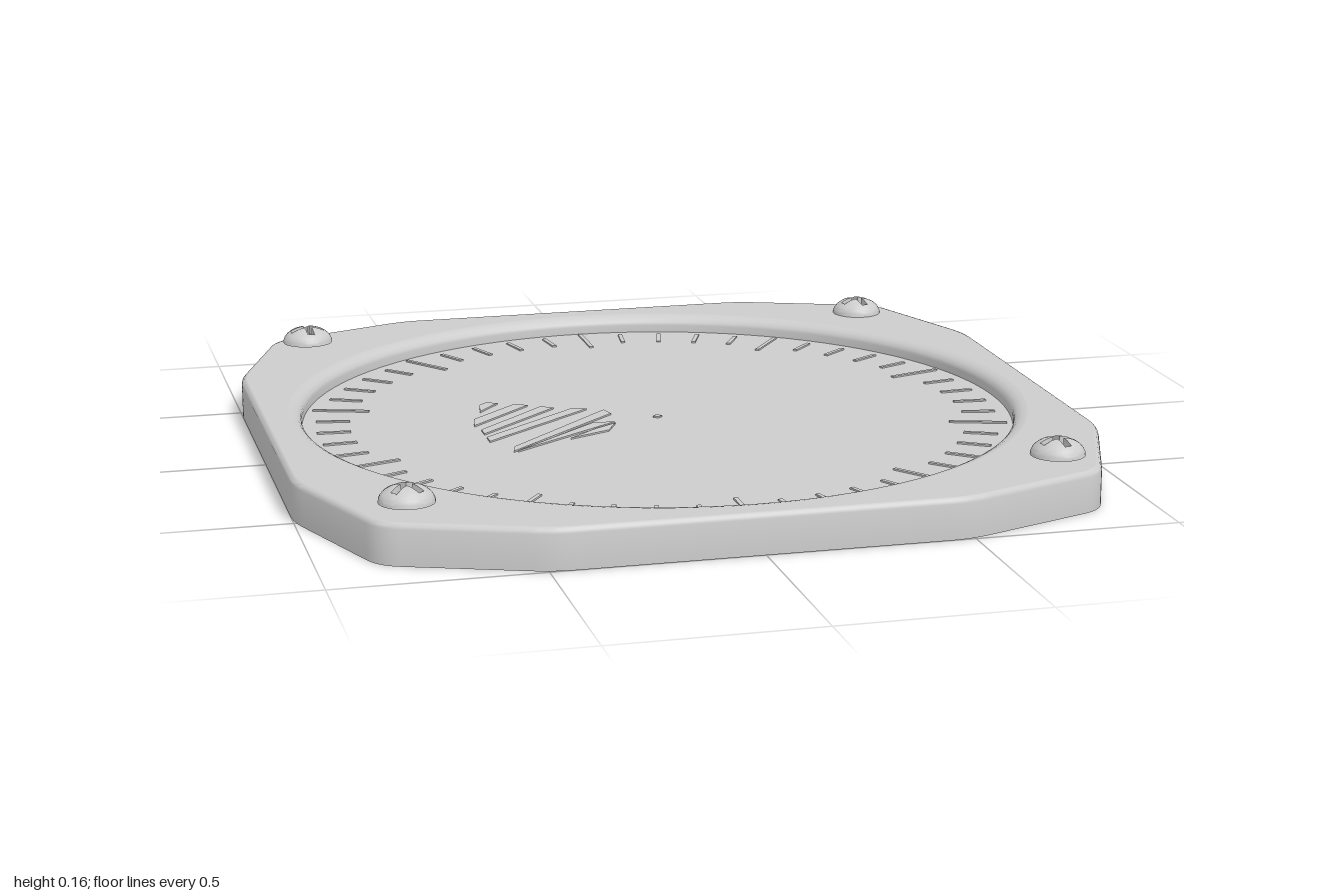
import * as THREE from 'three';
import { toCreasedNormals } from 'three/addons/utils/BufferGeometryUtils.js';

const TOP = 0.1, FLOOR = 0.055;

// Skin between closed loops of equal length, listed from bottom to top
function loft(loops) {
  const n = loops[0].length, index = [];
  for (let i = 0; i < loops.length - 1; i++)
    for (let j = 0; j < n; j++) {
      const a = i * n + j, b = i * n + (j + 1) % n;
      index.push(a, b, b + n, a, b + n, a + n);
    }
  const g = new THREE.BufferGeometry();
  g.setAttribute('position', new THREE.Float32BufferAttribute(loops.flat(2), 3));
  g.setIndex(index);
  return toCreasedNormals(g, 0.7);
}

// Twelve-sided plate outline with softened corners
function plateOutline(scale) {
  const corners = [];
  for (let q = 0; q < 4; q++)
    for (const [x, y] of [[1, -0.49], [1, 0.49], [0.862, 0.862]])
      corners.push(new THREE.Vector2(x * scale, y * scale).rotateAround(new THREE.Vector2(), q * Math.PI / 2));
  const pts = [];
  corners.forEach((c, i) => {
    const prev = corners[(i + 11) % 12], next = corners[(i + 1) % 12];
    const from = c.clone().add(prev.clone().sub(c).setLength(0.05));
    const to = c.clone().add(next.clone().sub(c).setLength(0.05));
    pts.push(...new THREE.QuadraticBezierCurve(from, c, to).getPoints(5));
  });
  return pts;
}

// Domed screw head with a recessed cross
function screwHead() {
  const R = 0.066, H = 0.042, w = 0.009, L = 0.045, tip = Math.atan2(w, L);
  const angles = [];
  for (let q = 0; q < 4; q++)
    for (const t of [0, tip, 0.35, 0.55, Math.PI / 4, 1.02, 1.22, Math.PI / 2 - tip])
      angles.push(q * Math.PI / 2 + t);
  const cross = (t) => {
    const c = Math.abs(Math.cos(t)) + 1e-6, s = Math.abs(Math.sin(t)) + 1e-6;
    return Math.max(Math.min(L / c, w / s), Math.min(L / s, w / c));
  };
  const dome = (r) => H * Math.sqrt(Math.max(0, 1 - (r / R) ** 2));
  const ring = (radius, height) => angles.map((t) => {
    const r = radius(t);
    return [r * Math.cos(t), height(r), -r * Math.sin(t)];
  });
  const loops = [ring(() => 0, () => 0), ring(() => R, () => 0)];
  for (let k = 1; k <= 7; k++) {
    const f = Math.sin((1 - k / 7) * Math.PI / 2);
    loops.push(ring((t) => cross(t) + (R - cross(t)) * f, dome));
  }
  loops.push(ring(cross, () => 0.015), ring(() => 0, () => 0.015));
  return loft(loops);
}

export function createModel() {
  const model = new THREE.Group();
  const grey = new THREE.MeshStandardMaterial({ color: 0xcccccc, side: THREE.DoubleSide });
  grey.name = 'light grey';
  const add = (name, geometry, parent = model) => {
    const mesh = new THREE.Mesh(geometry, grey);
    mesh.name = name;
    parent.add(mesh);
    return mesh;
  };

  // Outer skirt with a rounded upper edge, open underneath
  const sections = [[0, 1], [0.086, 1], [0.093, 0.998], [0.098, 0.994], [TOP, 0.988]];
  add('skirt', loft(sections.map(([y, s]) => plateOutline(s).map((p) => [p.x, y, -p.y]))));

  // Flat face plate with the round opening
  const plate = new THREE.Shape(plateOutline(0.988));
  plate.holes.push(new THREE.Path().absarc(0, 0, 0.935, 0, Math.PI * 2, true));
  add('facePlate', new THREE.ShapeGeometry(plate, 48).rotateX(-Math.PI / 2).translate(0, TOP, 0));

  // Rounded lip and wall down to the dial
  const lip = [[0.935, TOP], [0.922, 0.098], [0.91, 0.092], [0.902, 0.083], [0.9, 0.074], [0.9, FLOOR]];
  add('dialWall', new THREE.LatheGeometry(lip.map(([r, y]) => new THREE.Vector2(r, y)), 96));
  add('dial', new THREE.CircleGeometry(0.9, 96).rotateX(-Math.PI / 2).translate(0, FLOOR, 0));

  // Fifty graduation marks, every fifth one longer
  const ticks = new THREE.Group();
  ticks.name = 'graduationMarks';
  model.add(ticks);
  for (let i = 0; i < 50; i++) {
    const major = i % 5 === 0, r0 = major ? 0.74 : 0.78, r1 = major ? 0.885 : 0.865;
    const bar = new THREE.BoxGeometry(0.011, 0.004, r1 - r0).translate(0, FLOOR + 0.002, -(r0 + r1) / 2);
    add(major ? 'majorMark' : 'minorMark', bar.rotateY(-i * Math.PI / 25), ticks);
  }

  // Small pivot in the middle
  add('pivot', new THREE.CylinderGeometry(0.012, 0.012, 0.004, 4).translate(0, FLOOR + 0.002, 0));

  // Patch of slanted hatch bars, as x, z corners
  const hatch = new THREE.Group();
  hatch.name = 'hatchPatch';
  model.add(hatch);
  const bars = [
    [-0.43, -0.15, -0.42, -0.21, -0.40, -0.23, -0.37, -0.22],
    [-0.47, -0.02, -0.46, -0.08, -0.33, -0.20, -0.30, -0.18],
    [-0.46, 0.06, -0.46, 0.02, -0.27, -0.16, -0.24, -0.14],
    [-0.46, 0.13, -0.46, 0.09, -0.20, -0.12, -0.16, -0.11],
    [-0.42, 0.23, -0.41, 0.19, -0.12, -0.09, -0.11, -0.05],
    [-0.41, 0.23, -0.40, 0.22, -0.17, 0.02, -0.12, 0.03],
    [-0.26, 0.15, -0.18, 0.08, -0.12, 0.04, -0.15, 0.10],
  ];
  for (const b of bars) {
    const pts = [];
    for (let k = 0; k < 8; k += 2) pts.push(new THREE.Vector2(b[k], -b[k + 1]));
    const g = new THREE.ExtrudeGeometry(new THREE.Shape(pts), { depth: 0.004, bevelEnabled: false });
    add('hatchBar', g.rotateX(-Math.PI / 2).translate(0, FLOOR, 0), hatch);
  }

  // Corner screws, each at its own height and turn
  const head = screwHead();
  for (const [x, y, z, turn] of [
    [-0.78, 0.12, 0.78, 0.7], [0.78, 0.12, 0.78, 0.2],
    [-0.78, 0.11, -0.785, 0.08], [0.78, 0.1, -0.785, 0.25],
  ]) {
    const screw = add('screw', head);
    screw.position.set(x, y, z);
    screw.rotation.y = turn;
  }
  return model;
}
